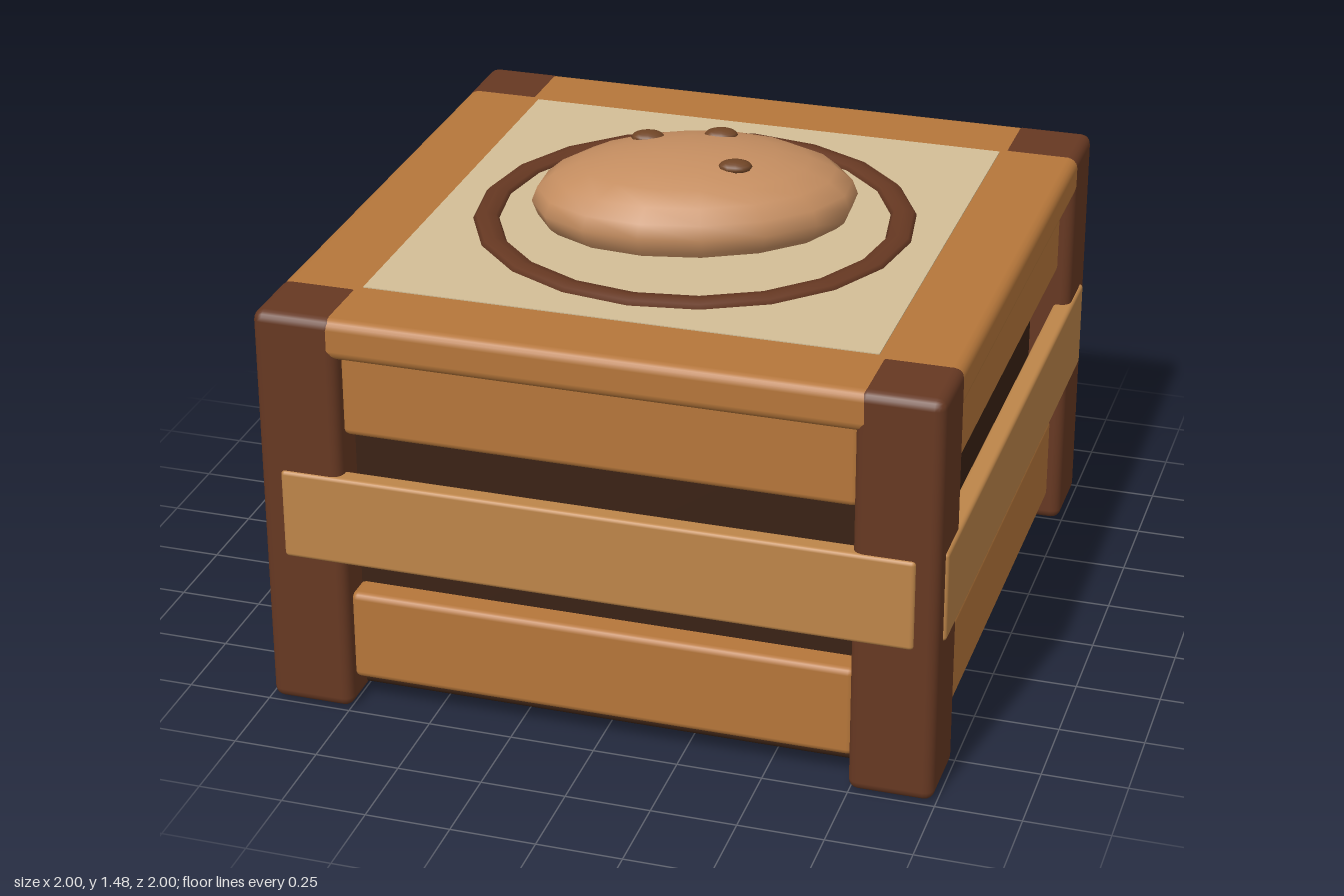
import * as THREE from 'three';
import { RoundedBoxGeometry } from 'three/addons/geometries/RoundedBoxGeometry.js';

const mat = (color) => new THREE.MeshStandardMaterial({ color });

export function createModel() {
  const model = new THREE.Group();
  const wood = mat(0xb5763a), paleWood = mat(0xbd8549), darkWood = mat(0x663822);
  const shadowWood = mat(0x3a2214), cream = mat(0xd3be96), skin = mat(0xc48d60), eyeBrown = mat(0x704526);

  const add = (parent, name, geometry, material, x, y, z) => {
    const mesh = new THREE.Mesh(geometry, material);
    mesh.name = name;
    mesh.position.set(x, y, z);
    parent.add(mesh);
    return mesh;
  };
  // Rounded box spanning y0..y1
  const board = (parent, name, material, w, y0, y1, d, x, z, r) =>
    add(parent, name, new RoundedBoxGeometry(w, y1 - y0, d, 2, r), material, x, (y0 + y1) / 2, z);

  // Dark inner body and lid with inset panel
  board(model, 'innerBox', shadowWood, 1.74, 0.02, 1.2, 1.74, 0, 0, 0.02);
  board(model, 'lidFrame', wood, 1.98, 1.122, 1.245, 1.98, 0, 0, 0.03);
  add(model, 'lidPanel', new THREE.BoxGeometry(1.5, 0.04, 1.5), cream, 0, 1.228, 0);

  // Corner posts
  for (const sx of [-1, 1]) {
    for (const sz of [-1, 1]) {
      board(model, 'cornerPost', darkWood, 0.247, 0, 1.246, 0.247, sx * 0.8675, sz * 0.8675, 0.03);
    }
  }

  // Three slats on each of the four sides
  for (let i = 0; i < 4; i++) {
    const side = new THREE.Group();
    side.name = 'sideSlats';
    side.rotation.y = (i * Math.PI) / 2;
    board(side, 'lowerSlat', wood, 1.5, 0.085, 0.365, 0.12, 0, 0.89, 0.02);
    board(side, 'upperSlat', wood, 1.5, 0.875, 1.15, 0.12, 0, 0.89, 0.02);
    board(side, 'middleSlat', paleWood, 1.85, 0.485, 0.76, 0.06, 0, 0.97, 0.012);
    model.add(side);
  }

  // Flattened ring on the lid
  const ring = add(model, 'lidRing', new THREE.TorusGeometry(0.615, 0.041, 8, 20), darkWood, 0, 1.245, 0);
  ring.rotation.x = Math.PI / 2;
  ring.scale.z = 0.5;

  // Potato with three eyes
  const potato = new THREE.Group();
  potato.name = 'potato';
  const body = add(potato, 'potatoBody', new THREE.SphereGeometry(1, 16, 12), skin, 0, 1.31, 0);
  body.scale.set(0.48, 0.165, 0.328);
  body.rotation.y = 0.35;
  for (const [x, y, z] of [[-0.165, 1.455, -0.065], [0.04, 1.461, -0.13], [0.145, 1.456, 0.08]]) {
    const eye = add(potato, 'potatoEye', new THREE.SphereGeometry(1, 12, 8), eyeBrown, x, y, z);
    eye.scale.set(0.05, 0.02, 0.036);
    eye.rotation.y = 0.3;
  }
  model.add(potato);
  return model;
}
